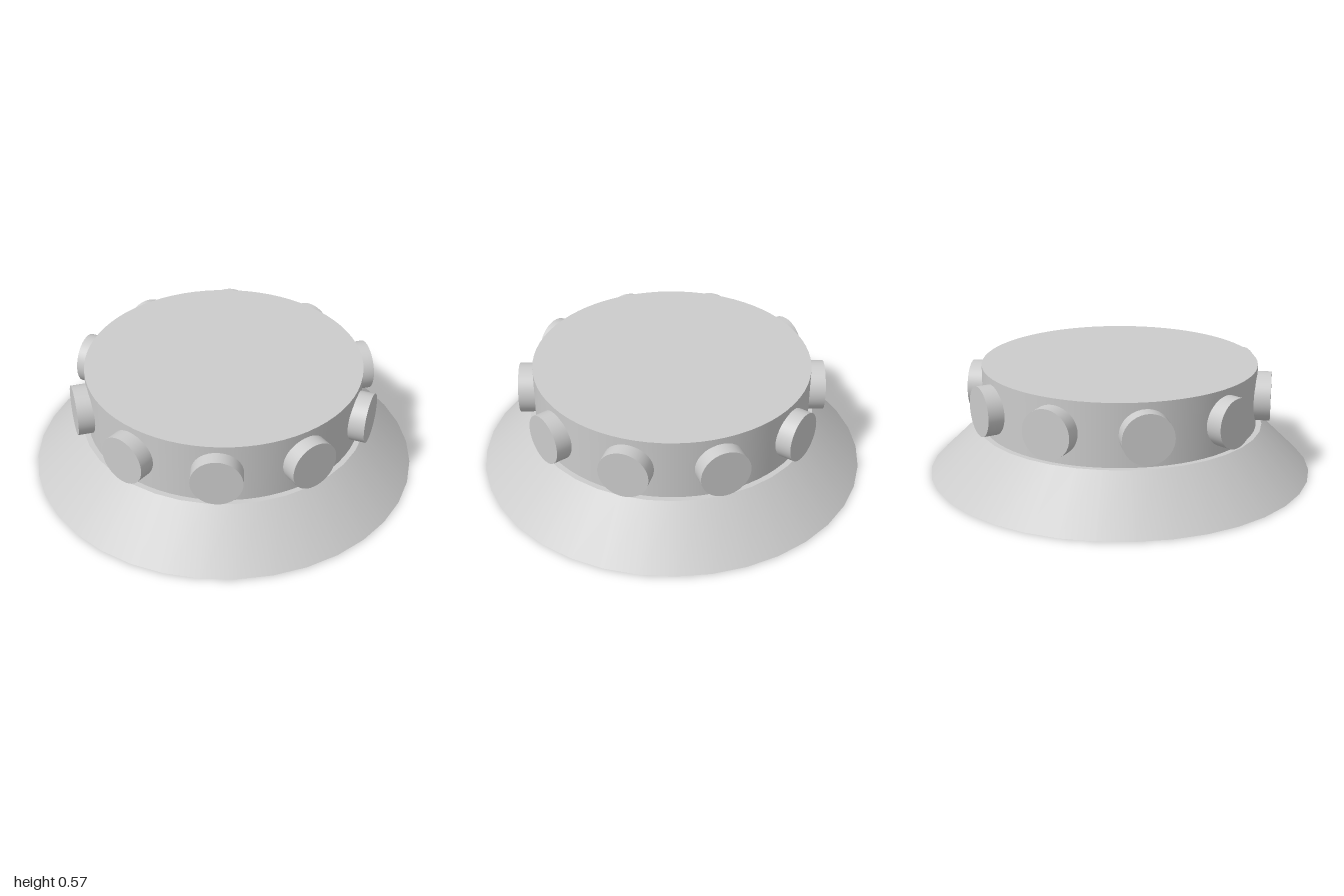
import * as THREE from 'three';

export function createModel() {
  const group = new THREE.Group();
  const material = new THREE.MeshStandardMaterial({ color: 0xcccccc });
  const shellMaterial = new THREE.MeshStandardMaterial({ color: 0xcccccc, side: THREE.DoubleSide });

  const add = (name, geometry, mat = material, parent = group) => {
    const mesh = new THREE.Mesh(geometry, mat);
    mesh.name = name;
    parent.add(mesh);
    return mesh;
  };

  // Solid drum, its base hanging a little inside the skirt
  const drumBottom = 0.2, drumTop = 0.57, drumRadius = 0.715;
  add('drum', new THREE.CylinderGeometry(drumRadius, drumRadius, drumTop - drumBottom, 72))
    .position.y = (drumTop + drumBottom) / 2;

  // Flared open skirt and the flat ledge that joins it to the drum
  const skirtHeight = 0.248, skirtTopRadius = 0.745;
  add('skirt', new THREE.CylinderGeometry(skirtTopRadius, 1, skirtHeight, 36, 1, true), shellMaterial)
    .position.y = skirtHeight / 2;
  const ledge = add('ledge', new THREE.RingGeometry(drumRadius - 0.01, skirtTopRadius, 36), shellMaterial);
  ledge.rotation.x = -Math.PI / 2;
  ledge.position.y = skirtHeight;

  // Ten round studs facing outwards around the drum
  const studInner = 0.66, studOuter = 0.787;
  const studGeometry = new THREE.CylinderGeometry(0.127, 0.127, studOuter - studInner, 40);
  studGeometry.rotateX(Math.PI / 2);
  studGeometry.translate(0, 0.41, (studInner + studOuter) / 2);
  const studs = new THREE.Group();
  studs.name = 'studs';
  group.add(studs);
  for (let i = 0; i < 10; i++) {
    add('stud', studGeometry, material, studs).rotation.y = (i / 10) * Math.PI * 2;
  }

  return group;
}
